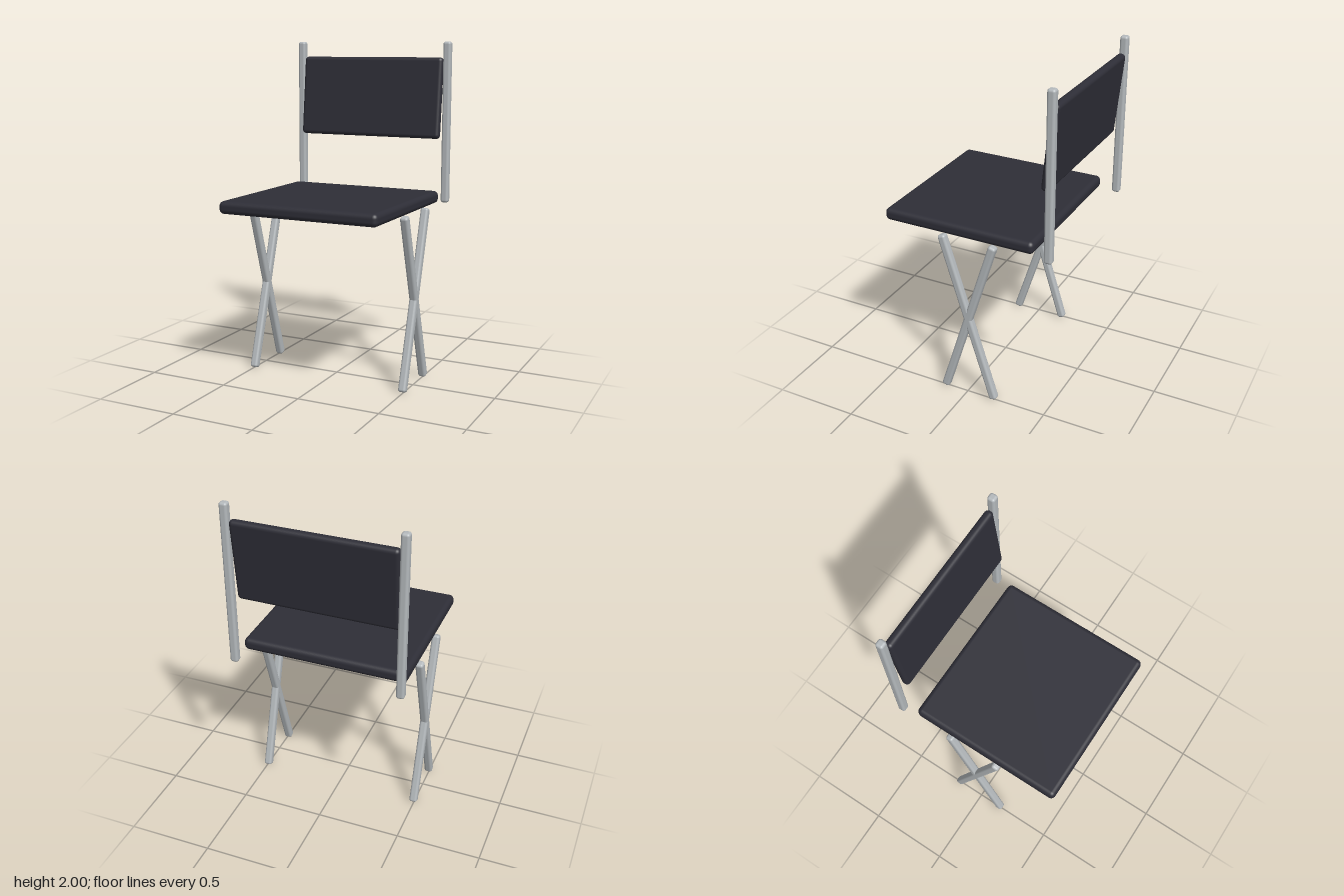
import * as THREE from 'three';
import { RoundedBoxGeometry } from 'three/addons/geometries/RoundedBoxGeometry.js';

export function createModel() {
  const chair = new THREE.Group();
  chair.name = 'chair';

  const metal = new THREE.MeshStandardMaterial({ color: 0xb4b9bc });
  metal.name = 'grey metal';
  const padding = new THREE.MeshStandardMaterial({ color: 0x2e2e37 });
  padding.name = 'dark padding';

  // Rounded block placed by its centre and tilted about x
  function block(name, material, size, radius, position, tilt = 0) {
    const mesh = new THREE.Mesh(new RoundedBoxGeometry(...size, 4, radius), material);
    mesh.name = name;
    mesh.position.set(...position);
    mesh.rotation.x = tilt;
    chair.add(mesh);
  }

  // Seat cushion and backrest, whose lower edge leans forward
  block('seat', padding, [0.986, 0.074, 0.94], 0.028, [0, 1.069, 0.06]);
  block('backrest', padding, [0.94, 0.493, 0.051], 0.023, [0, 1.66, -0.485], -0.1);

  // Upright posts and crossed legs on both sides
  const bar = 0.048;
  for (const [side, label] of [[1, 'left'], [-1, 'right']]) {
    const x = side * 0.495;
    block(label + 'BackPost', metal, [bar, 0.98, bar], 0.015, [x, 1.51, -0.509]);
    block(label + 'LegForward', metal, [bar, 1.078, bar], 0.015, [x, 0.52, -0.013], 0.306);
    block(label + 'LegBackward', metal, [bar, 1.078, bar], 0.015, [x, 0.52, -0.013], -0.306);
  }

  return chair;
}
